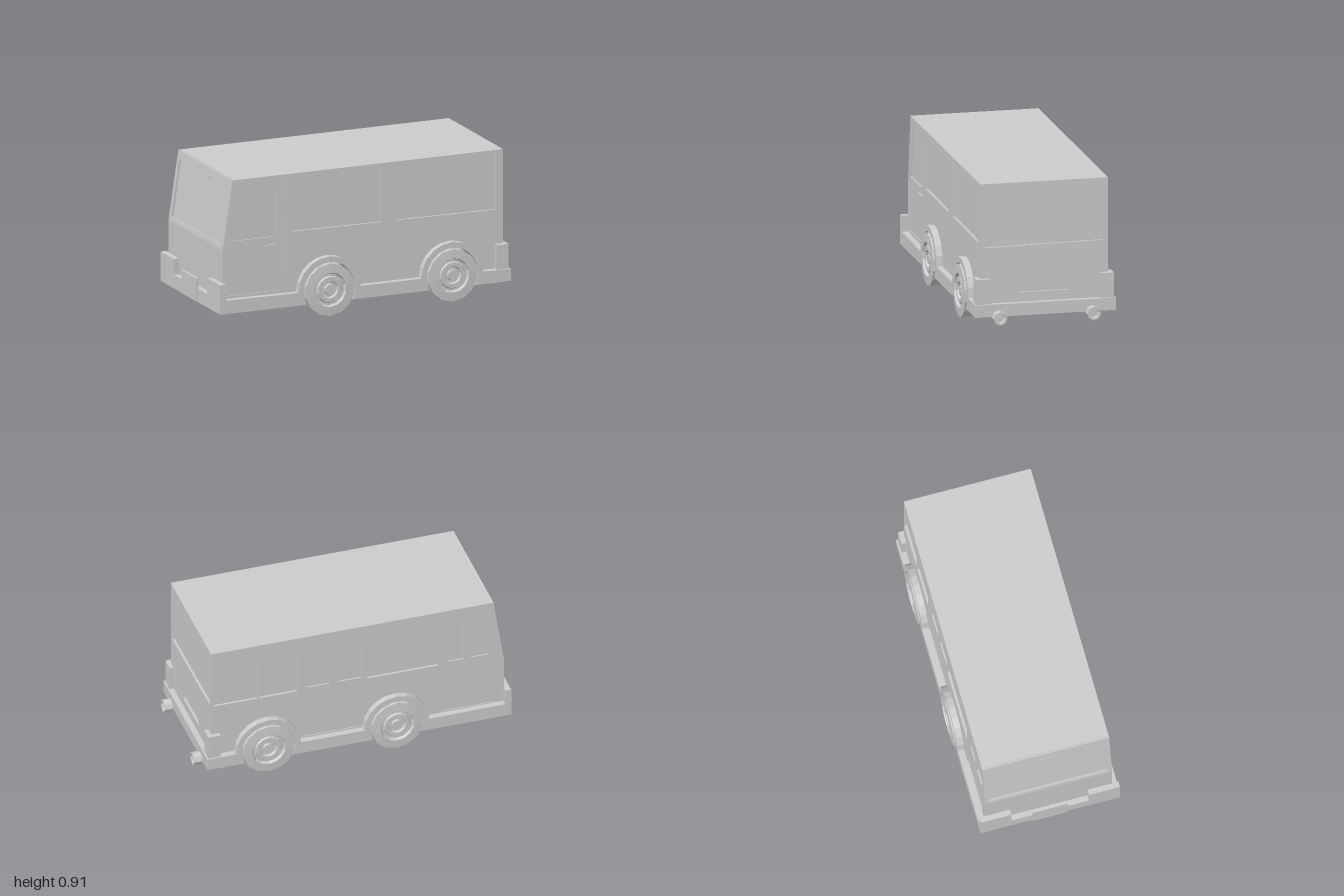
import * as THREE from 'three';

const AXLES = [-0.26, 0.56], HUB_Y = 0.165, FLOOR = 0.085;
const mat = new THREE.MeshStandardMaterial({ color: 0xcccccc, flatShading: true, side: THREE.DoubleSide });

function mesh(name, geometry, parent, x = 0, y = 0, z = 0) {
  const m = new THREE.Mesh(geometry, mat);
  m.name = name;
  m.position.set(x, y, z);
  parent.add(m);
  return m;
}

// Box given by its limits on each axis
function block(name, parent, x0, x1, y0, y1, z0, z1) {
  return mesh(name, new THREE.BoxGeometry(x1 - x0, y1 - y0, z1 - z0), parent,
    (x0 + x1) / 2, (y0 + y1) / 2, (z0 + z1) / 2);
}

const rect = (x0, x1, y0, y1) => [[x0, y0], [x1, y0], [x1, y1], [x0, y1]];

function plate(points, holes, depth) {
  const vec = list => list.map(p => new THREE.Vector2(p[0], p[1]));
  const shape = new THREE.Shape(vec(points));
  for (const h of holes) shape.holes.push(new THREE.Path(vec(h)));
  return new THREE.ExtrudeGeometry(shape, { depth, bevelEnabled: false });
}

// Points over a wheel, from rear-of-arc to front-of-arc, ending at height y
function arch(cx, r, y, n = 11) {
  const a = Math.asin((y - HUB_Y) / r), pts = [];
  for (let i = 0; i <= n; i++) {
    const t = Math.PI - a + (2 * a - Math.PI) * i / n;
    pts.push([cx + r * Math.cos(t), HUB_Y + r * Math.sin(t)]);
  }
  return pts;
}
const wells = () => AXLES.flatMap(c => arch(c, 0.172, FLOOR));

// Side outline of the body, inset at both ends
const profile = d => [[-0.955 + d, FLOOR], ...wells(), [0.915 - d, FLOOR],
  [0.915 - d, 0.91], [-0.89 + d, 0.91], [-0.955 + d, 0.48]];

export function createModel() {
  const bus = new THREE.Group();
  bus.name = 'bus';

  // Core body, with recessed glass showing through the outer panels
  mesh('bodyCore', plate(profile(0.015), [], 0.77), bus, 0, 0, -0.385);

  // Driver side
  const driverDoor = [[-0.94, 0.185], [-0.565, 0.185], [-0.56, 0.89], [-0.885, 0.89], [-0.94, 0.49]];
  const driverPane = [[-0.91, 0.525], [-0.6, 0.525], [-0.6, 0.85], [-0.865, 0.85]];
  mesh('driverSidePanel', plate(profile(0), [driverDoor,
    [[-0.49, 0.545], [0.1, 0.54], [0.1, 0.88], [-0.485, 0.88]],
    [[0.205, 0.54], [0.865, 0.535], [0.865, 0.88], [0.2, 0.88]]], 0.015), bus, 0, 0, 0.385);
  mesh('driverDoor', plate(driverDoor, [driverPane], 0.009), bus, 0, 0, 0.385);
  block('doorHandle', bus, -0.68, -0.595, 0.44, 0.478, 0.39, 0.405);

  // Passenger side with two double doors
  const doors = [
    { outline: rect(-0.06, 0.34, 0.175, 0.81), panes: [rect(-0.045, 0.105, 0.53, 0.79), rect(0.155, 0.3, 0.53, 0.79)] },
    { outline: rect(-0.885, -0.55, 0.175, 0.81), panes: [rect(-0.86, -0.745, 0.53, 0.79), rect(-0.7, -0.59, 0.53, 0.79)] },
  ];
  mesh('passengerSidePanel', plate(profile(0), [...doors.map(d => d.outline),
    rect(0.365, 0.605, 0.52, 0.795), rect(0.62, 0.9, 0.52, 0.795),
    rect(-0.535, -0.08, 0.52, 0.795)], 0.015), bus, 0, 0, -0.4);
  for (const d of doors) mesh('passengerDoor', plate(d.outline, d.panes, 0.009), bus, 0, 0, -0.394);

  // Rear panel with window and number plate recess
  mesh('rearPanel', plate(rect(-0.385, 0.385, FLOOR, 0.91), [
    [[-0.37, 0.51], [0.37, 0.52], [0.37, 0.86], [-0.37, 0.86]],
    [[-0.155, 0.22], [0.155, 0.22], [0.155, 0.39], [-0.155, 0.375]]], 0.015), bus, 0.9)
    .rotation.y = Math.PI / 2;

  // Nose and sloping windscreen frame
  block('nosePanel', bus, -0.955, -0.94, FLOOR, 0.48, -0.385, 0.385);
  const slope = new THREE.Group();
  slope.name = 'windscreenFrame';
  slope.position.set(-0.94, 0.48, 0);
  slope.rotation.z = -Math.atan(0.065 / 0.43);
  bus.add(slope);
  mesh('windscreenSurround', plate(rect(-0.385, 0.385, 0, 0.432),
    [rect(-0.37, 0.37, 0.02, 0.38)], 0.015), slope).rotation.y = -Math.PI / 2;
  block('mirrorMount', slope, -0.018, 0, 0.365, 0.385, -0.08, 0.08);

  // Skirts with raised wheel arches
  const skirt = [[-0.99, FLOOR], ...wells(), [0.95, FLOOR], [0.95, 0.162],
    ...AXLES.slice().reverse().flatMap(c => arch(c, 0.208, 0.165, 10).reverse()), [-0.99, 0.17]];
  for (const s of [-1, 1]) {
    mesh('skirt', plate(skirt, [], 0.04), bus, 0, 0, s > 0 ? 0.4 : -0.44);
    // Corner pieces on the bumpers
    const side = new THREE.Group();
    side.name = 'cornerParts';
    bus.add(side);
    const [a, b] = s > 0 ? [0.345, 0.43] : [-0.43, -0.345];
    block('rearCornerLamp', side, 0.86, 0.94, 0.16, 0.318, a, b);
    const [c, d] = s > 0 ? [0.245, 0.44] : [-0.44, -0.245];
    block('frontBumperUpright', side, -0.99, -0.952, 0.16, 0.27, c, d);
  }
  block('frontBumper', bus, -0.99, -0.95, FLOOR, 0.17, -0.4, 0.4);
  block('rearBumper', bus, 0.91, 0.95, FLOOR, 0.162, -0.4, 0.4);
  block('frontNumberPlate', bus, -1, -0.985, 0.09, 0.235, -0.11, 0.11);

  // Wheels with stepped hubs, and axles
  const wheelProfile = [[0, 0], [0.165, 0], [0.165, 0.068], [0.108, 0.072], [0.1, 0.055], [0.086, 0.055],
    [0.08, 0.066], [0.056, 0.066], [0.05, 0.05], [0.034, 0.05], [0.03, 0.062], [0, 0.062]]
    .map(p => new THREE.Vector2(...p));
  const wheel = new THREE.LatheGeometry(wheelProfile, 14);
  for (const x of AXLES) {
    for (const s of [-1, 1])
      mesh('wheel', wheel, bus, x, HUB_Y, s * 0.38).rotation.x = s * Math.PI / 2;
    mesh('axle', new THREE.CylinderGeometry(0.04, 0.04, 0.77, 12), bus, x, HUB_Y, 0).rotation.x = Math.PI / 2;
  }

  // Twin exhausts with hollow tips
  const tip = new THREE.LatheGeometry([[0.03, 0], [0.043, 0], [0.043, 0.05], [0.032, 0.05], [0.032, 0.01], [0, 0.01]]
    .map(p => new THREE.Vector2(...p)), 8);
  for (const z of [-0.293, 0.293]) {
    mesh('exhaustPipe', new THREE.CylinderGeometry(0.035, 0.035, 0.265, 10), bus, 0.8225, 0.082, z).rotation.z = -Math.PI / 2;
    mesh('exhaustTip', tip, bus, 0.95, 0.082, z).rotation.z = -Math.PI / 2;
  }
  return bus;
}
